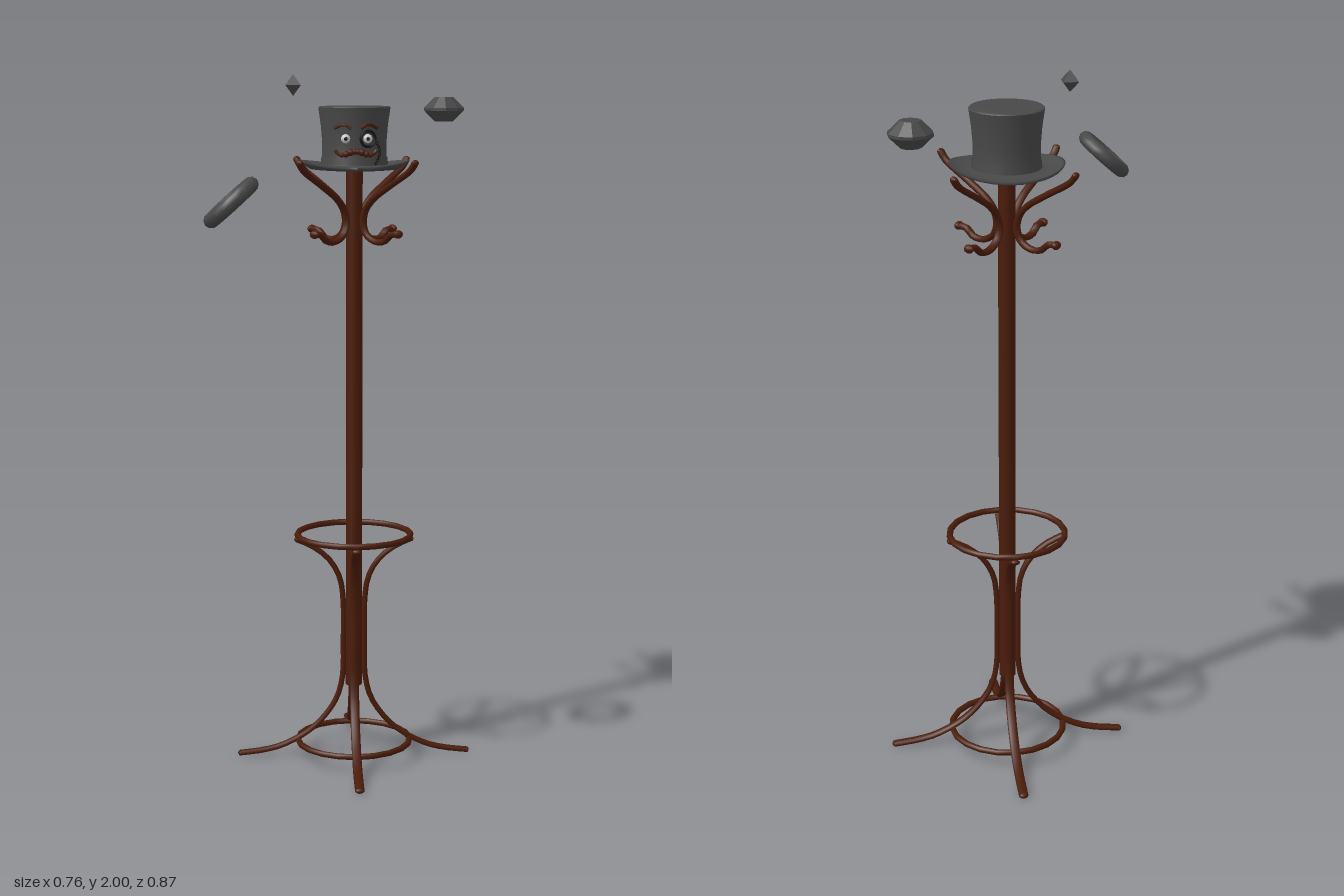
import * as THREE from 'three';

const brown = new THREE.MeshStandardMaterial({ color: 0x4a1c0a });
const hatGrey = new THREE.MeshStandardMaterial({ color: 0x484848, side: THREE.DoubleSide });
const gemGrey = new THREE.MeshStandardMaterial({ color: 0x484848, flatShading: true });
const dark = new THREE.MeshStandardMaterial({ color: 0x151515 });
const pale = new THREE.MeshStandardMaterial({ color: 0xcccccc });

function add(parent, name, geometry, material, x = 0, y = 0, z = 0) {
  const mesh = new THREE.Mesh(geometry, material);
  mesh.name = name;
  mesh.position.set(x, y, z);
  parent.add(mesh);
  return mesh;
}

// Bent wood rod in the radial plane, widened sideways, with rounded ends
function bentRod(name, points, radius, widen, segments) {
  const rod = new THREE.Group();
  rod.name = name;
  const curve = new THREE.CatmullRomCurve3(points.map(([r, y]) => new THREE.Vector3(r, y, 0)));
  add(rod, name + 'Rod', new THREE.TubeGeometry(curve, segments, radius, 8), brown);
  for (const t of [0, 1]) {
    const p = curve.getPoint(t);
    add(rod, name + 'End', new THREE.SphereGeometry(radius, 8, 6), brown, p.x, p.y, 0);
  }
  rod.scale.z = widen;
  return rod;
}

function makeStand() {
  const stand = new THREE.Group();
  stand.name = 'coatStand';
  add(stand, 'pole', new THREE.CylinderGeometry(0.024, 0.024, 1.53, 16), brown, 0, 0.985, 0);

  const leg = [[0.167, 0.66], [0.119, 0.638], [0.071, 0.598], [0.042, 0.545], [0.032, 0.48], [0.031, 0.35],
    [0.033, 0.25], [0.048, 0.185], [0.077, 0.135], [0.13, 0.08], [0.21, 0.035], [0.265, 0.02], [0.337, 0.011]];
  const hook = [[0.226, 1.758], [0.21, 1.738], [0.13, 1.69], [0.07, 1.652], [0.042, 1.62], [0.034, 1.585],
    [0.046, 1.553], [0.08, 1.534], [0.115, 1.537], [0.138, 1.556], [0.165, 1.559]];
  for (let i = 0; i < 4; i++) {
    const l = bentRod('leg', leg, 0.008, 1.7, 32);
    l.rotation.y = i * Math.PI / 2;
    const h = bentRod('hook', hook, 0.009, 1.3, 32);
    add(h, 'hookKnob', new THREE.SphereGeometry(0.012, 8, 6), brown, 0.165, 1.559, 0);
    h.rotation.y = Math.PI / 4 + i * Math.PI / 2;
    stand.add(l, h);
  }

  // Hoops tying the legs together
  for (const [name, y] of [['umbrellaHoop', 0.675], ['footHoop', 0.05]]) {
    const hoop = add(stand, name, new THREE.TorusGeometry(0.166, 0.009, 8, 20), brown, 0, y, 0);
    hoop.rotation.x = Math.PI / 2;
  }
  return stand;
}

function makeHat() {
  const hat = new THREE.Group();
  hat.name = 'topHat';
  const v = (x, y) => new THREE.Vector2(x, y);

  // Crown, open underneath
  add(hat, 'crownSide', new THREE.LatheGeometry([v(0.096, 1.742), v(0.091, 1.765), v(0.091, 1.81),
    v(0.095, 1.86), v(0.102, 1.908)], 32), hatGrey);
  add(hat, 'crownTop', new THREE.LatheGeometry([v(0.102, 1.908), v(0.098, 1.912), v(0.0001, 1.912)], 32), hatGrey);
  add(hat, 'crownLining', new THREE.LatheGeometry([v(0.085, 1.738), v(0.084, 1.81), v(0.092, 1.9),
    v(0.0001, 1.9)], 32), hatGrey);
  add(hat, 'hatBand', new THREE.CylinderGeometry(0.0935, 0.0955, 0.022, 32, 1, true), hatGrey, 0, 1.76, 0);

  // Oval brim with its sides curled up
  const brim = new THREE.LatheGeometry([v(0.085, 1.738), v(0.13, 1.734), v(0.16, 1.738), v(0.167, 1.743),
    v(0.16, 1.747), v(0.13, 1.742), v(0.094, 1.748)], 32);
  const p = brim.attributes.position;
  for (let i = 0; i < p.count; i++) {
    const x = p.getX(i), z = p.getZ(i);
    const out = Math.max(0, (Math.hypot(x, z) - 0.095) / 0.07);
    p.setY(i, p.getY(i) + 0.018 * out * out * (x / 0.167) ** 2);
    p.setX(i, x * (1 - 0.06 * Math.min(1, out)));
  }
  brim.computeVertexNormals();
  add(hat, 'brim', brim, hatGrey);

  // Face parts follow the curve of the crown
  const onCrown = (x, y, off = 0) => new THREE.Vector3(x, y, Math.sqrt(0.093 ** 2 - x * x) + off);
  const strand = (name, pts, radius, material) => add(hat, name, new THREE.TubeGeometry(
    new THREE.CatmullRomCurve3(pts.map(([x, y]) => onCrown(x, y, 0.006))), 12, radius, 6), material);

  for (const s of [-1, 1]) {
    const eye = onCrown(0.002 + s * 0.031, 1.823, 0.002);
    add(hat, 'eye', new THREE.SphereGeometry(0.013, 12, 8), pale, eye.x, eye.y, eye.z);
    add(hat, 'pupil', new THREE.SphereGeometry(0.006, 8, 6), dark, eye.x, eye.y, eye.z + 0.009);
    strand('eyebrow', [[s * 0.012, 1.85], [s * 0.035, 1.862], [s * 0.06, 1.852]], 0.005, brown);

    // Moustache half, thick at the middle and pinched at the curled tip
    const m = [[0.004, 1.787, 0.008], [0.016, 1.785, 0.01], [0.028, 1.78, 0.009], [0.04, 1.778, 0.007],
      [0.05, 1.782, 0.005], [0.057, 1.79, 0.003]];
    strand('moustache', m.map(([x, y]) => [s * x, y]), 0.005, brown);
    for (const [x, y, r] of m) {
      const c = onCrown(s * x, y, 0.005);
      add(hat, 'moustacheTuft', new THREE.SphereGeometry(r, 8, 6), brown, c.x, c.y, c.z);
    }
  }

  // Monocle over the left eye and its chain
  const rim = onCrown(0.033, 1.823, 0.012);
  const monocle = add(hat, 'monocle', new THREE.TorusGeometry(0.022, 0.004, 6, 20), dark, rim.x, rim.y, rim.z);
  monocle.rotation.y = 0.36;
  for (let i = 0; i < 9; i++) {
    const c = onCrown(0.055 + 0.012 * Math.sin(i * 0.39), 1.818 - i * 0.008, 0.009);
    const link = add(hat, 'chainLink', new THREE.TorusGeometry(0.004, 0.0013, 4, 8), dark, c.x, c.y, c.z);
    link.rotation.y = i % 2 ? 0.5 : 1.9;
  }
  return hat;
}

export function createModel() {
  const model = new THREE.Group();
  model.name = 'coatStandWithHat';
  const standing = new THREE.Group();
  standing.name = 'standAndHat';
  standing.position.set(0.035, 0, -0.093);
  standing.add(makeStand(), makeHat());
  model.add(standing);

  // Floating shapes
  const diamond = add(model, 'floatingDiamond', new THREE.OctahedronGeometry(0.03), gemGrey, -0.138, 1.97, -0.07);
  diamond.rotation.y = Math.PI / 4;

  const gem = [[0.0001, -0.035], [0.028, -0.035], [0.06, -0.004], [0.06, 0.004], [0.028, 0.035], [0.0001, 0.035]];
  add(model, 'floatingGem', new THREE.LatheGeometry(gem.map(([x, y]) => new THREE.Vector2(x, y)), 10),
    gemGrey, 0.311, 1.9, -0.328);

  const ringShape = new THREE.TorusGeometry(0.0705, 0.0205, 10, 20);
  ringShape.rotateX(Math.PI / 2);
  ringShape.rotateZ(0.73);
  add(model, 'floatingRing', ringShape, hatGrey, -0.31, 1.668, 0.341);
  return model;
}
